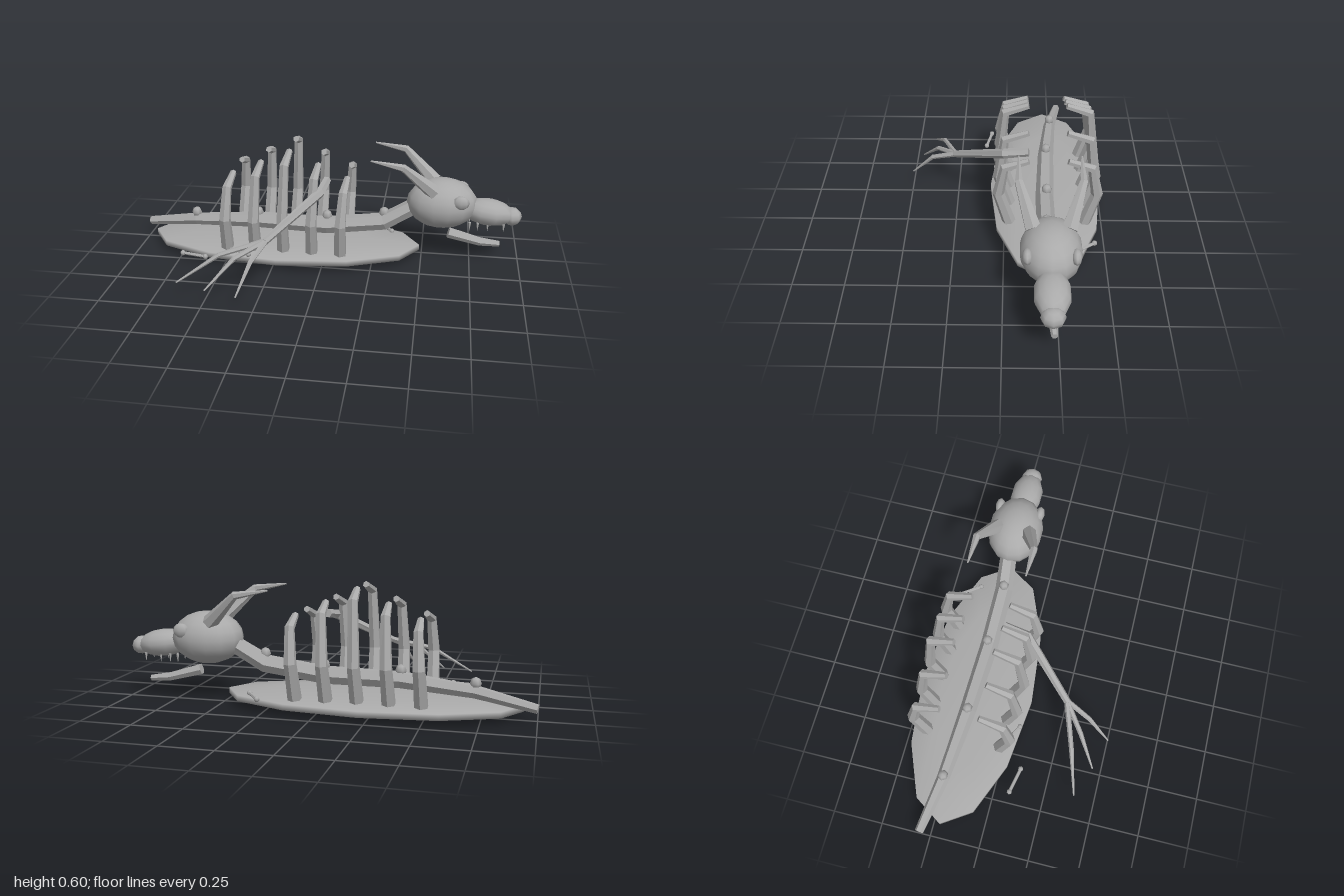
import * as THREE from 'three';

const bone = new THREE.MeshStandardMaterial({ color: 0xaaaaaa, flatShading: true });
bone.name = 'bone';
const smoothBone = new THREE.MeshStandardMaterial({ color: 0xaaaaaa });
smoothBone.name = 'smoothBone';

const MID = -0.215; // z of the body's mirror plane

// Tapered, jointed limb: each point is [x, y, z, radius]
function limbGeometry(points, ref = [0, 1, 0], sides = 6) {
  const centres = points.map(p => new THREE.Vector3(p[0], p[1], p[2]));
  const up = new THREE.Vector3(...ref);
  const n = points.length;
  const pos = [], index = [];
  centres.forEach((c, i) => {
    const t = new THREE.Vector3();
    if (i > 0) t.add(c.clone().sub(centres[i - 1]).normalize());
    if (i < n - 1) t.add(centres[i + 1].clone().sub(c).normalize());
    t.normalize();
    const u = new THREE.Vector3().crossVectors(up, t).normalize();
    const v = new THREE.Vector3().crossVectors(t, u);
    for (let j = 0; j < sides; j++) {
      const a = (j / sides) * Math.PI * 2;
      const p = c.clone()
        .addScaledVector(u, Math.cos(a) * points[i][3])
        .addScaledVector(v, Math.sin(a) * points[i][3]);
      pos.push(p.x, p.y, p.z);
    }
  });
  const first = n * sides, last = first + 1;
  for (const c of [centres[0], centres[n - 1]]) pos.push(c.x, c.y, c.z);
  for (let j = 0; j < sides; j++) {
    const k = (j + 1) % sides;
    for (let i = 0; i < n - 1; i++) {
      const a = i * sides + j, b = i * sides + k;
      index.push(a, b, b + sides, a, b + sides, a + sides);
    }
    const e = (n - 1) * sides;
    index.push(first, k, j, last, e + j, e + k);
  }
  const g = new THREE.BufferGeometry();
  g.setAttribute('position', new THREE.Float32BufferAttribute(pos, 3));
  g.setIndex(index);
  const flat = g.toNonIndexed();
  flat.computeVertexNormals();
  return flat;
}

export function createModel() {
  const group = new THREE.Group();

  const add = (name, geometry, material) => {
    const mesh = new THREE.Mesh(geometry, material);
    mesh.name = name;
    group.add(mesh);
    return mesh;
  };
  const limb = (name, points, ref) => add(name, limbGeometry(points, ref), bone);
  const ball = (name, at, size, w = 12, h = 8) => {
    const mesh = add(name, new THREE.SphereGeometry(1, w, h), smoothBone);
    mesh.position.set(...at);
    mesh.scale.set(...size);
    return mesh;
  };

  // Ground mound
  ball('mound', [-0.225, 0.047, MID], [0.75, 0.047, 0.305], 12, 5);

  // Spine from tail to neck, with knobs on top
  limb('spine', [
    [-1, 0.07, -0.3, 0.022], [-0.72, 0.12, -0.25, 0.032], [-0.37, 0.15, -0.22, 0.042],
    [0, 0.15, -0.205, 0.046], [0.3, 0.19, -0.205, 0.046], [0.47, 0.29, -0.22, 0.042],
  ]);
  for (const [x, y, z] of [[-0.72, 0.16, -0.25], [-0.37, 0.195, -0.22], [0, 0.2, -0.215], [0.3, 0.24, -0.205]]) {
    ball('spineKnob', [x, y, z], [0.027, 0.03, 0.027], 6, 4);
  }

  // Five pairs of hooked ribs
  [0.47, 0.535, 0.6, 0.535, 0.47].forEach((top, i) => {
    const x = -0.495 + i * 0.147;
    for (const s of [1, -1]) {
      limb('rib', [
        [x, 0.07, MID + s * 0.19, 0.034],
        [x + 0.005, 0.25, MID + s * 0.243, 0.03],
        [x + 0.015, top - 0.06, MID + s * 0.212, 0.024],
        [x + 0.022, top - 0.018, MID + s * 0.095, 0.016],
      ], [1, 0, 0]);
    }
  });

  // Skull, snout and nose
  ball('skull', [0.593, 0.31, MID], [0.18, 0.13, 0.142], 14, 10);
  ball('snout', [0.83, 0.272, MID], [0.135, 0.068, 0.083], 10, 8).rotation.z = -0.12;
  ball('nose', [0.95, 0.255, MID], [0.05, 0.046, 0.055], 8, 6);

  // Lower jaw lying loose below the head
  limb('jaw', [
    [0.635, 0.145, -0.21, 0.028], [0.8, 0.1, -0.22, 0.022], [0.9, 0.09, -0.228, 0.015],
  ]);

  for (const s of [1, -1]) {
    // Eyes
    ball('eye', [0.688, 0.355, MID + s * 0.107], [0.042, 0.036, 0.024], 8, 6);
    // Swept-back horns
    limb('horn', [
      [0.55, 0.395, MID + s * 0.08, 0.04],
      [0.395, 0.54, MID + s * 0.145, 0.02],
      [0.235, 0.567, MID + s * 0.145, 0.004],
    ], [0, 0, 1]);
    // Upper teeth
    for (const x of [0.74, 0.78, 0.83, 0.91]) {
      const tooth = add('tooth', new THREE.ConeGeometry(0.008, 0.045, 5), bone);
      tooth.position.set(x, 0.202, MID + s * 0.042);
      tooth.rotation.x = Math.PI;
    }
  }

  // Wing arm and its three finger bones
  limb('wingArm', [
    [0.01, 0.435, -0.12, 0.022], [-0.005, 0.415, 0, 0.025], [-0.235, 0.252, 0.26, 0.018],
  ]);
  for (const [jx, jz, tx, tz] of [[-0.445, 0.33, -0.645, 0.395], [-0.365, 0.36, -0.49, 0.455], [-0.28, 0.385, -0.33, 0.5]]) {
    limb('wingFinger', [
      [-0.23, 0.255, 0.255, 0.014], [jx, 0.2, jz, 0.012], [tx, 0.07, tz, 0.004],
    ]);
  }

  // Loose bones scattered around
  for (const [x1, z1, x2, z2] of [[-0.705, 0.08, -0.58, 0.107], [0.265, -0.445, 0.335, -0.345], [-0.48, -0.01, -0.37, 0.05]]) {
    limb('looseBoneShaft', [[x1, 0.072, z1, 0.008], [x2, 0.072, z2, 0.008]]);
    ball('looseBoneEnd', [x1, 0.072, z1], [0.014, 0.014, 0.014], 6, 5);
    ball('looseBoneEnd', [x2, 0.072, z2], [0.014, 0.014, 0.014], 6, 5);
  }

  return group;
}
